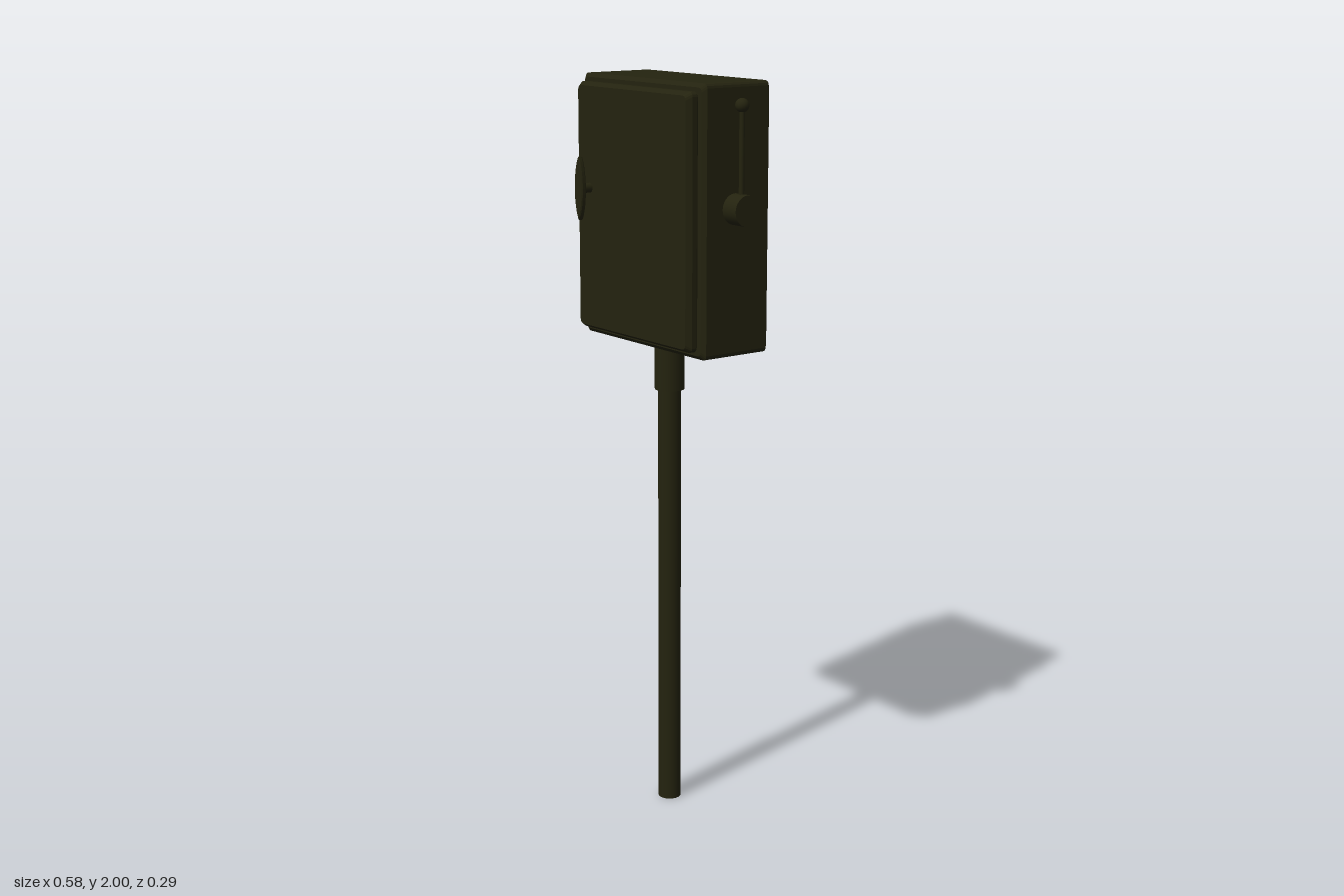
import * as THREE from 'three';

const olive = new THREE.MeshStandardMaterial({ color: 0x24230f, side: THREE.DoubleSide });
olive.name = 'darkOlive';

// Cabinet outline before insets
const BOX = { x0: -0.29, x1: 0.235, y0: 1.305, y1: 2.0 };
const CORNER_STEPS = 3;

// Rounded rectangle ring at depth z, pulled in by inset
function ring(z, inset, r = 0.012) {
  const x0 = BOX.x0 + inset, x1 = BOX.x1 - inset, y0 = BOX.y0 + inset, y1 = BOX.y1 - inset;
  const centres = [[x1 - r, y1 - r], [x0 + r, y1 - r], [x0 + r, y0 + r], [x1 - r, y0 + r]];
  const points = [];
  centres.forEach(([cx, cy], i) => {
    for (let k = 0; k <= CORNER_STEPS; k++) {
      const a = (i + k / CORNER_STEPS) * Math.PI / 2;
      points.push([cx + r * Math.cos(a), cy + r * Math.sin(a), z]);
    }
  });
  return points;
}

// Skin joining rings from back to front, with an optional front cap
function shell(rings, cap) {
  const pos = [];
  for (let i = 0; i < rings.length - 1; i++) {
    const a = rings[i], b = rings[i + 1];
    for (let j = 0; j < a.length; j++) {
      const k = (j + 1) % a.length;
      pos.push(...a[j], ...a[k], ...b[k], ...a[j], ...b[k], ...b[j]);
    }
  }
  if (cap) {
    const f = rings[rings.length - 1];
    for (let j = 1; j < f.length - 1; j++) pos.push(...f[0], ...f[j], ...f[j + 1]);
  }
  const geo = new THREE.BufferGeometry();
  geo.setAttribute('position', new THREE.Float32BufferAttribute(pos, 3));
  geo.computeVertexNormals();
  return geo;
}

export function createModel() {
  const group = new THREE.Group();
  const add = (name, geo, x = 0, y = 0, z = 0) => {
    const mesh = new THREE.Mesh(geo, olive);
    mesh.name = name;
    mesh.position.set(x, y, z);
    group.add(mesh);
    return mesh;
  };

  // Cabinet, open at the back, with a front opening behind the door
  add('cabinet', shell([
    ring(-0.145, 0.01), ring(-0.135, 0), ring(0.06, 0), ring(0.07, 0.01), ring(0.07, 0.025),
  ], false));

  // Raised hollow door
  add('door', shell([
    ring(0.07, 0.025), ring(0.076, 0.02), ring(0.09, 0.02), ring(0.105, 0.029),
  ], true));

  // Door handle: shaft through the door and a pointed oval grip
  const hx = -0.212, hy = 1.705;
  add('handleShaft', new THREE.CylinderGeometry(0.013, 0.013, 0.085, 16), hx, hy, 0.0895).rotation.x = Math.PI / 2;
  const oval = new THREE.Shape();
  oval.moveTo(0, -0.081);
  oval.bezierCurveTo(0.021, -0.04, 0.021, 0.04, 0, 0.081);
  oval.bezierCurveTo(-0.021, 0.04, -0.021, -0.04, 0, -0.081);
  add('handleGrip', new THREE.ExtrudeGeometry(oval, {
    depth: 0.008, bevelEnabled: true, bevelThickness: 0.003, bevelSize: 0.002, bevelSegments: 1, curveSegments: 12,
  }), hx, hy, 0.131);

  // Side switch: hub, rod and ball
  const sz = -0.03;
  add('switchHub', new THREE.CylinderGeometry(0.04, 0.04, 0.054, 24), 0.26, 1.685, sz).rotation.z = Math.PI / 2;
  add('switchRod', new THREE.CylinderGeometry(0.007, 0.007, 0.24, 12), 0.26, 1.825, sz);
  add('switchBall', new THREE.SphereGeometry(0.018, 16, 12), 0.26, 1.945, sz);

  // Post and the collar that passes through the cabinet floor
  const px = -0.033, pz = -0.025;
  add('post', new THREE.CylinderGeometry(0.031, 0.031, 1.2, 24), px, 0.6, pz);
  add('collar', new THREE.CylinderGeometry(0.04, 0.04, 0.19, 24), px, 1.27, pz);

  return group;
}
